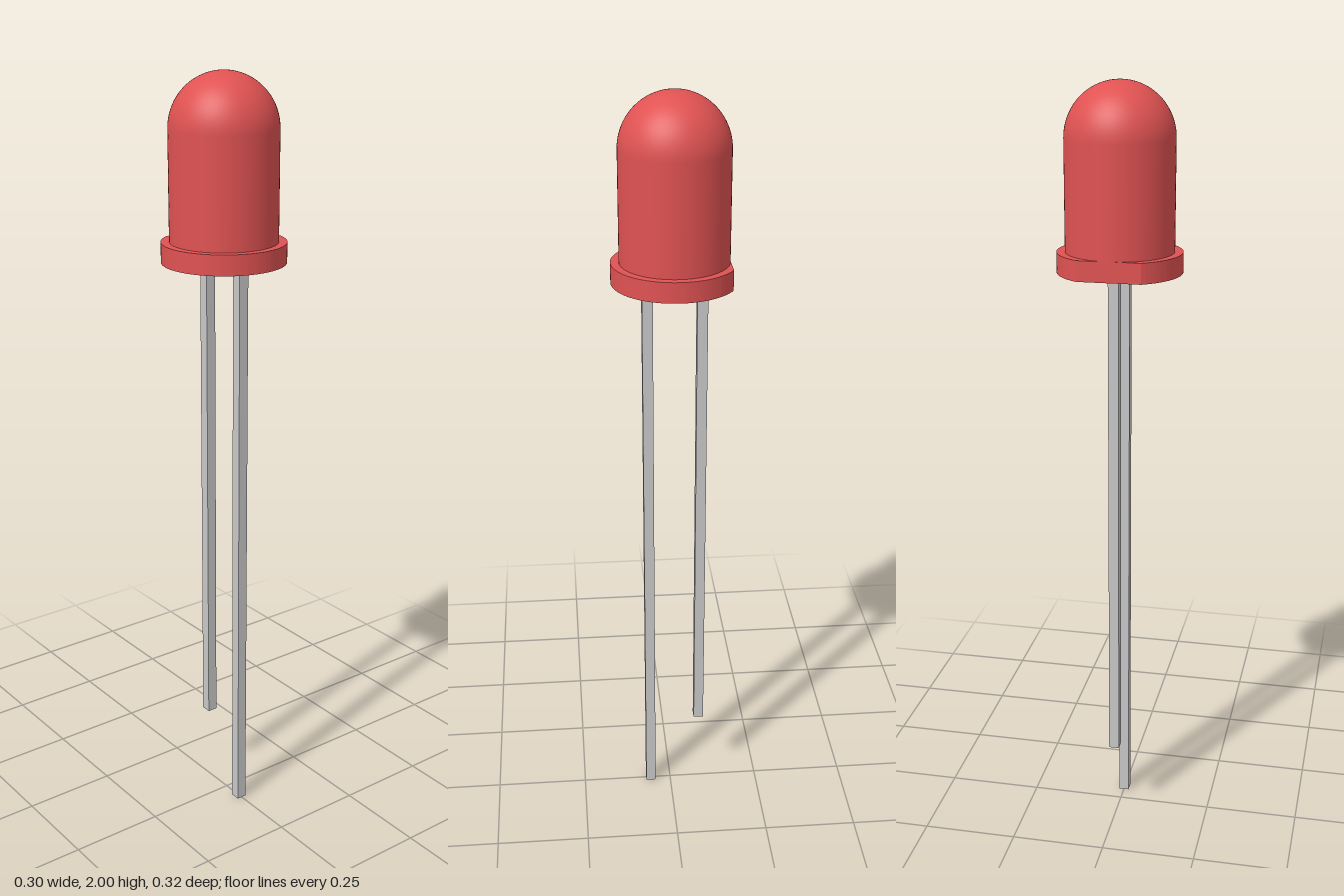
import * as THREE from 'three';
import { toCreasedNormals } from 'three/addons/utils/BufferGeometryUtils.js';

export function createModel() {
  const group = new THREE.Group();
  const red = new THREE.MeshStandardMaterial({ name: 'red plastic', color: 0xe05252 });
  const metal = new THREE.MeshStandardMaterial({ name: 'lead metal', color: 0xc8c8c8 });

  const axisX = -0.0115, bodyR = 0.137, flangeR = 0.158;
  const baseY = 1.535, flangeTop = 1.587, domeY = 2 - bodyR;

  function add(name, geometry, material, x, y) {
    const mesh = new THREE.Mesh(geometry, material);
    mesh.name = name;
    mesh.position.set(x, y, 0);
    group.add(mesh);
  }

  // Cylindrical lens flowing into a hemispherical dome
  const profile = [new THREE.Vector2(bodyR, flangeTop)];
  const steps = 24;
  for (let i = 0; i <= steps; i++) {
    const a = (i / steps) * Math.PI / 2;
    profile.push(new THREE.Vector2(i === steps ? 0 : bodyR * Math.cos(a), domeY + bodyR * Math.sin(a)));
  }
  add('lens', new THREE.LatheGeometry(profile, 72), red, axisX, 0);

  // Base rim with one flat side marking the short lead
  const end = Math.PI - Math.acos(0.1365 / flangeR);
  const rim = new THREE.Shape();
  rim.absarc(0, 0, flangeR, -end, end, false);
  rim.closePath();
  const rimGeometry = new THREE.ExtrudeGeometry(rim, {
    depth: flangeTop - baseY, bevelEnabled: false, curveSegments: 72,
  });
  rimGeometry.rotateX(-Math.PI / 2);
  add('baseRim', toCreasedNormals(rimGeometry, 0.4), red, axisX, baseY);

  // Square wire leads, the left one longer
  for (const [name, x, bottom] of [['shortLead', -0.081, 0.22], ['longLead', 0.057, 0]]) {
    const height = baseY - bottom;
    add(name, new THREE.BoxGeometry(0.027, height, 0.027), metal, x, bottom + height / 2);
  }

  return group;
}
